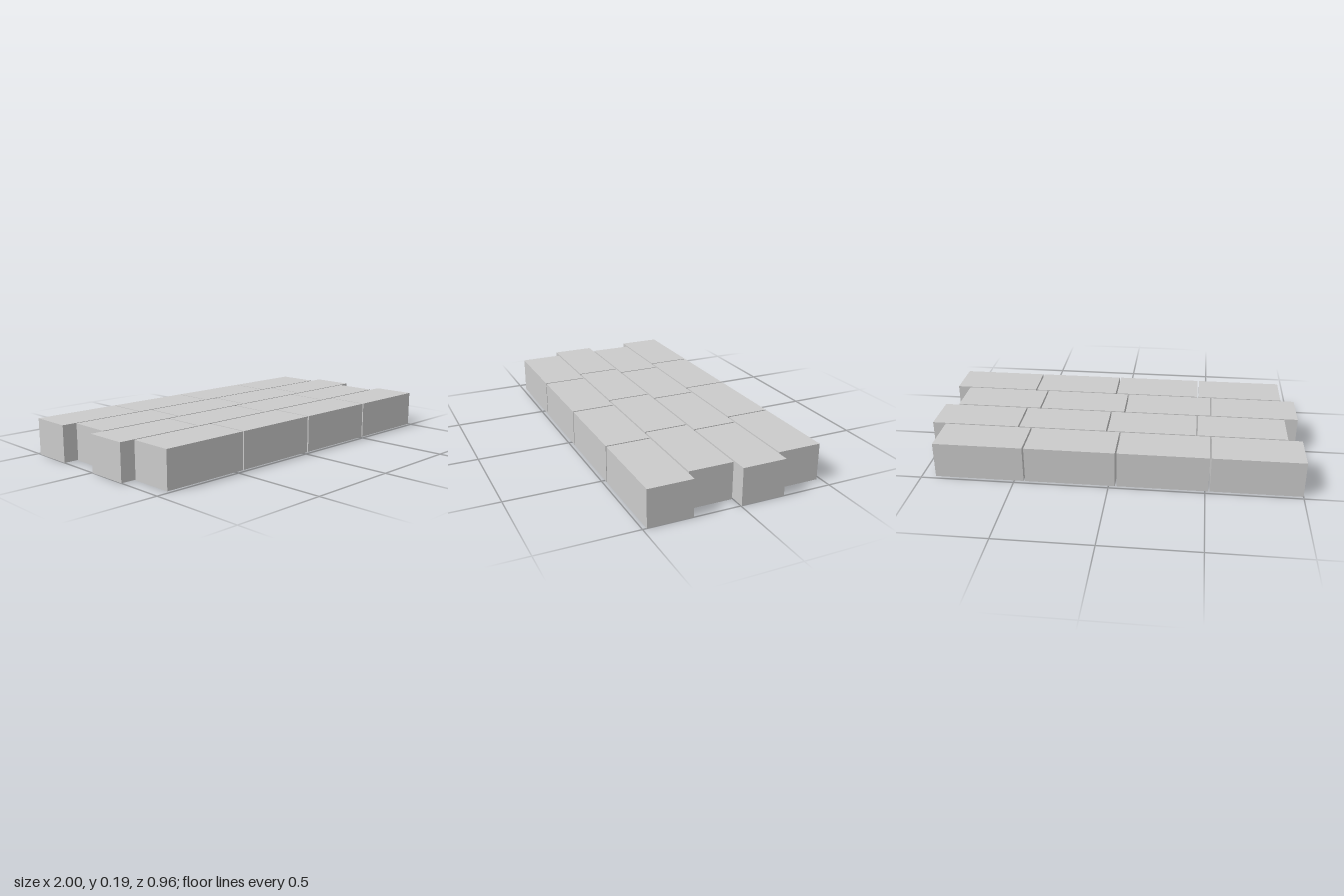
import * as THREE from 'three';

// Four staggered rows of four paving bricks with narrow open joints
export function createModel() {
  const group = new THREE.Group();
  group.name = 'brickPaving';

  const rows = 4, columns = 4;
  const length = 0.475, height = 0.195, depth = 0.233;
  const pitchX = 0.4835, pitchZ = 0.242;
  const stagger = 2 - (columns - 1) * pitchX - length;

  const brick = new THREE.BoxGeometry(length, height, depth);
  const material = new THREE.MeshStandardMaterial({ color: 0xcccccc });

  for (let r = 0; r < rows; r++) {
    const row = new THREE.Group();
    row.name = `brickRow${r + 1}`;
    // Rows run from back to front; every second one shifts towards +x
    row.position.set((r % 2) * stagger, 0, (r - (rows - 1) / 2) * pitchZ);
    for (let c = 0; c < columns; c++) {
      const mesh = new THREE.Mesh(brick, material);
      mesh.name = `brick${c + 1}`;
      mesh.position.set(-1 + length / 2 + c * pitchX, height / 2, 0);
      row.add(mesh);
    }
    group.add(row);
  }
  return group;
}
